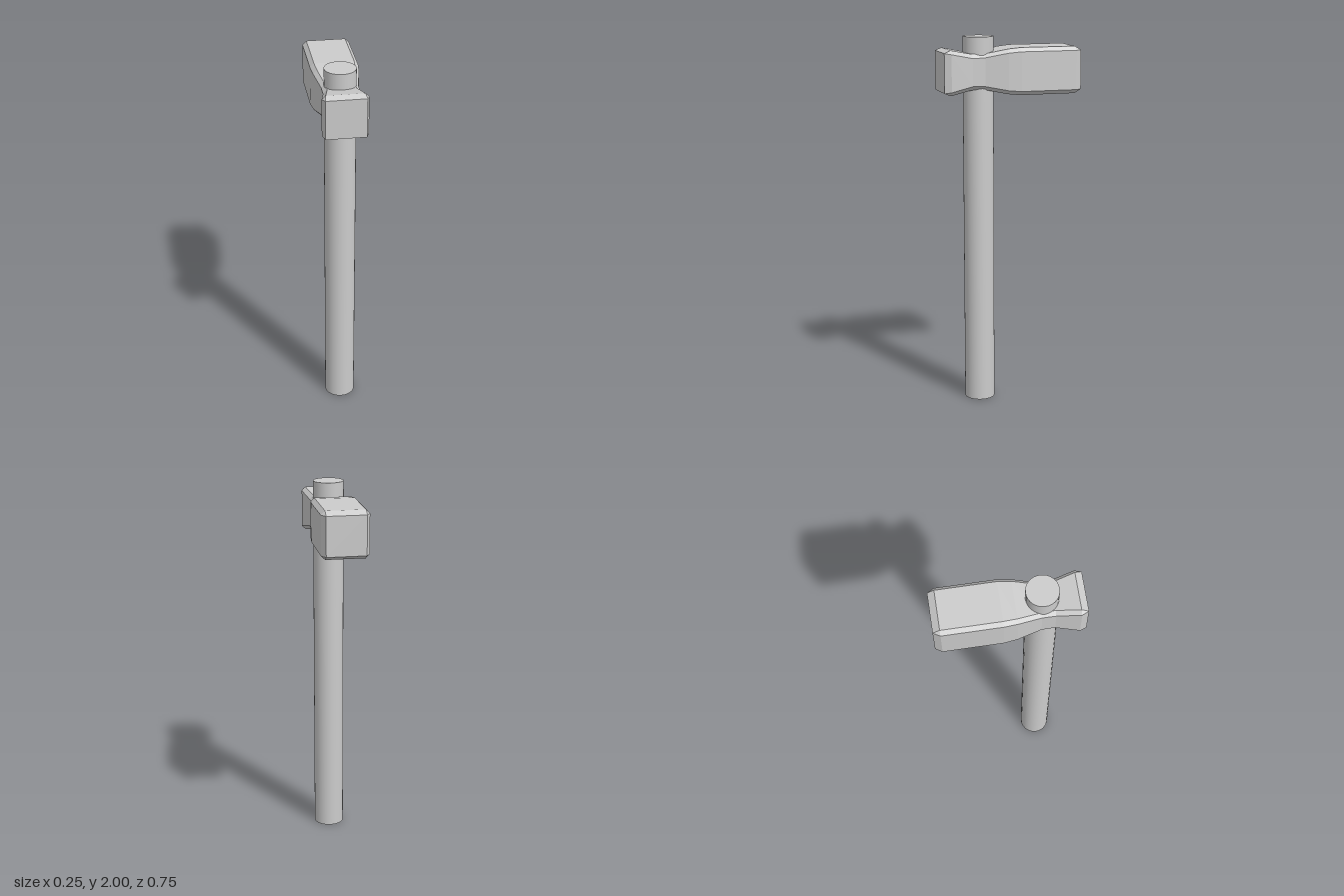
import * as THREE from 'three';

// Chamfered square cross-section, counter-clockwise seen from +z
function section([z, outer, inner]) {
  const o = outer, i = inner;
  return [[o, -i], [o, i], [i, o], [-i, o], [-o, i], [-o, -i], [-i, -o], [i, -o]]
    .map(([x, y]) => new THREE.Vector3(x, y, z));
}

// Skin a row of sections (ordered by rising z) and close both ends
function loft(rows) {
  const rings = rows.map(section);
  const points = [];
  const tri = (a, b, c) => {
    if (new THREE.Triangle(a, b, c).getArea() > 1e-8) points.push(a, b, c);
  };
  for (let k = 0; k < rings.length - 1; k++) {
    for (let j = 0; j < 8; j++) {
      const n = (j + 1) % 8;
      tri(rings[k][j], rings[k][n], rings[k + 1][n]);
      tri(rings[k][j], rings[k + 1][n], rings[k + 1][j]);
    }
  }
  const back = rings[0], front = rings[rings.length - 1];
  for (let j = 1; j < 7; j++) {
    tri(front[0], front[j], front[j + 1]);
    tri(back[0], back[j + 1], back[j]);
  }
  const geometry = new THREE.BufferGeometry().setFromPoints(points);
  geometry.computeVertexNormals();
  return geometry;
}

export function createModel() {
  const group = new THREE.Group();
  group.name = 'hammer';

  // Round handle running through the head
  const handle = new THREE.Mesh(
    new THREE.CylinderGeometry(0.082, 0.082, 2, 32),
    new THREE.MeshStandardMaterial({ color: 0xcccccc })
  );
  handle.name = 'handle';
  handle.position.set(0, 1, 0.166);
  group.add(handle);

  // Head: long block, pinched at the handle; rows are [z, half width, half flat face]
  const head = new THREE.Mesh(
    loft([
      [-0.375, 0.104, 0.104],
      [-0.34, 0.125, 0.104],
      [-0.037, 0.125, 0.104],
      [0.032, 0.118, 0.098],
      [0.152, 0.094, 0.075],
      [0.22, 0.094, 0.073],
      [0.34, 0.118, 0.098],
      [0.375, 0.104, 0.104],
    ]),
    new THREE.MeshStandardMaterial({ color: 0xcccccc, flatShading: true })
  );
  head.name = 'head';
  head.position.y = 1.818;
  group.add(head);

  return group;
}
